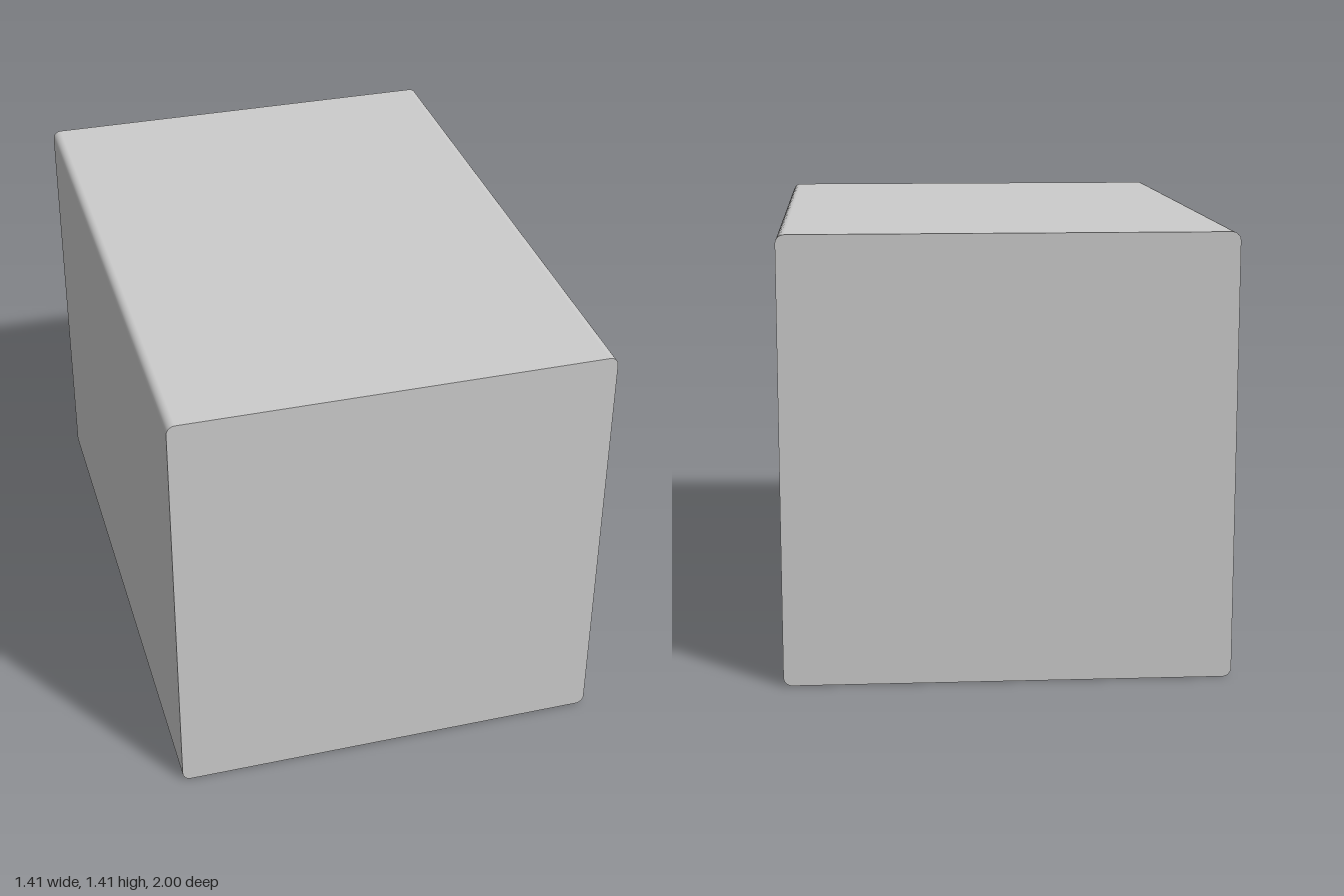
import * as THREE from 'three';

const W = 1.412, H = 1.412, L = 2, R = 0.028; // body width, height, length, edge radius

// Wall through outline points [x, y, normalX, normalY], running from z0 to z1
function wall(points, z0, z1) {
  const pos = [], nor = [];
  for (let i = 0; i + 1 < points.length; i++) {
    const p = points[i], q = points[i + 1];
    if (Math.hypot(p[0] - q[0], p[1] - q[1]) < 1e-6) continue;
    for (const [c, z] of [[p, z0], [q, z0], [q, z1], [p, z0], [q, z1], [p, z1]]) {
      pos.push(c[0], c[1], z);
      nor.push(c[2], c[3], 0);
    }
  }
  const g = new THREE.BufferGeometry();
  g.setAttribute('position', new THREE.Float32BufferAttribute(pos, 3));
  g.setAttribute('normal', new THREE.Float32BufferAttribute(nor, 3));
  return g;
}

// Arc points with radial normals
function arc(cx, cy, r, from, to, steps) {
  return Array.from({ length: steps + 1 }, (_, i) => {
    const a = from + (to - from) * i / steps, c = Math.cos(a), s = Math.sin(a);
    return [cx + r * c, cy + r * s, c, s];
  });
}

// Rectangle points, two per side, with flat outward normals
function rect(x0, y0, x1, y1) {
  return [[x0, y0, 0, -1], [x1, y0, 0, -1], [x1, y0, 1, 0], [x1, y1, 1, 0],
    [x1, y1, 0, 1], [x0, y1, 0, 1], [x0, y1, -1, 0], [x0, y0, -1, 0]];
}

const toVectors = (points) => points.map(([x, y]) => new THREE.Vector2(x, y));

export function createModel() {
  const model = new THREE.Group();
  const grey = new THREE.MeshStandardMaterial({ color: 0xcccccc });
  grey.name = 'grey';
  const add = (parent, name, geometry) => {
    const mesh = new THREE.Mesh(geometry, grey);
    mesh.name = name;
    parent.add(mesh);
    return mesh;
  };

  // Rounded outline, left open along the +x side for the panel with the recesses
  const cx = W / 2 - R, q = Math.PI / 2;
  const outline = [[cx, H - R], [-cx, H - R], [-cx, R], [cx, R]]
    .flatMap(([x, y], i) => arc(x, y, R, i * q, (i + 1) * q, 8));
  add(model, 'casing', wall(outline, -L / 2, L / 2));

  // Flat front and back
  const endShape = new THREE.Shape(toVectors(outline));
  add(model, 'frontPanel', new THREE.ShapeGeometry(endShape)).position.z = L / 2;
  const back = add(model, 'backPanel', new THREE.ShapeGeometry(endShape));
  back.rotation.y = Math.PI;
  back.position.z = -L / 2;

  // Side panel, drawn facing +z and turned to face +x
  const side = new THREE.Group();
  side.name = 'sidePanel';
  side.rotation.y = Math.PI / 2;
  side.position.x = W / 2;
  model.add(side);

  const recesses = [
    ['largeRoundRecess', arc(0.055, 0.708, 0.52, 0, 2 * Math.PI, 64), 1.2],
    ['rectangularRecess', rect(-0.945, 0.822, -0.705, 1.3), 0.4],
    ['smallRoundRecess', arc(-0.825, 0.356, 0.073, 0, 2 * Math.PI, 40), 0.03],
  ];
  const panel = new THREE.Shape(toVectors(rect(-L / 2, R, L / 2, H - R)));
  for (const [name, points, depth] of recesses) {
    panel.holes.push(new THREE.Path(toVectors(points)));
    // Walls face inward, so the outline is walked backwards
    const inward = points.map(([x, y, nx, ny]) => [x, y, -nx, -ny]).reverse();
    add(side, name + 'Wall', wall(inward, -depth, 0));
    const floor = new THREE.ShapeGeometry(new THREE.Shape(toVectors(points)));
    add(side, name + 'Floor', floor).position.z = -depth;
  }
  add(side, 'sidePanelFace', new THREE.ShapeGeometry(panel));

  return model;
}
